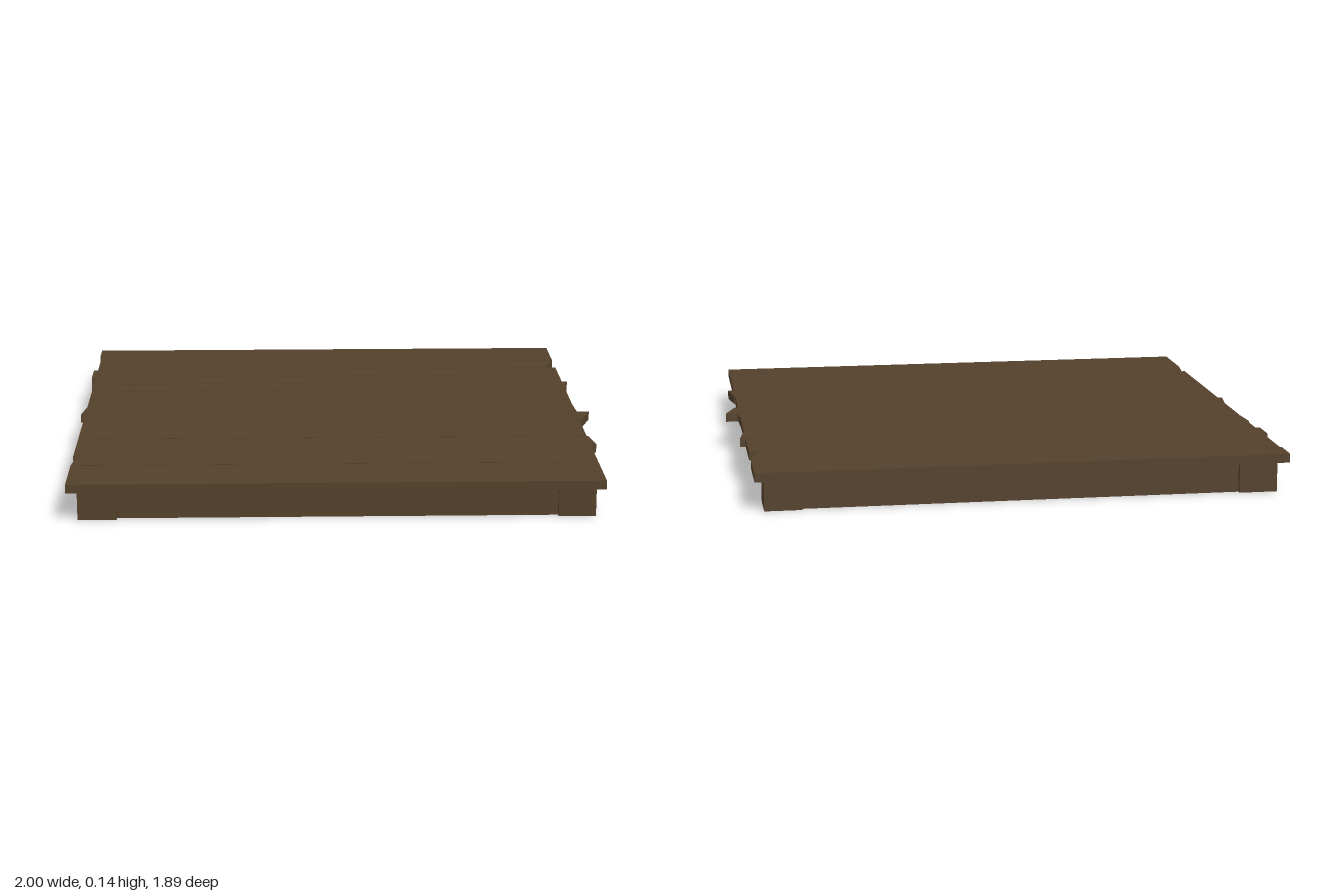
import * as THREE from 'three';

const wood = new THREE.MeshStandardMaterial({ color: 0x54412b, flatShading: true });

function box(name, x0, x1, y0, y1, z0, z1) {
  const mesh = new THREE.Mesh(new THREE.BoxGeometry(x1 - x0, y1 - y0, z1 - z0), wood);
  mesh.position.set((x0 + x1) / 2, (y0 + y1) / 2, (z0 + z1) / 2);
  mesh.name = name;
  return mesh;
}

// A board whose two ends may be cut at a slant: [x at back, x at front]
function plank(name, left, right, y0, y1, z0, z1) {
  const geo = new THREE.BoxGeometry(1, y1 - y0, z1 - z0);
  const p = geo.attributes.position;
  for (let i = 0; i < p.count; i++) {
    const end = p.getX(i) < 0 ? left : right;
    p.setX(i, end[p.getZ(i) < 0 ? 0 : 1]);
  }
  geo.computeVertexNormals();
  const mesh = new THREE.Mesh(geo, wood);
  mesh.position.set(0, (y0 + y1) / 2, (z0 + z1) / 2);
  mesh.name = name;
  return mesh;
}

export function createModel() {
  const model = new THREE.Group();
  model.name = 'woodenPlatform';

  // Solid base under the boards
  model.add(box('base', -0.928, 0.897, 0, 0.107, -0.922, 0.908));

  // Corner blocks, standing slightly proud of the base
  for (const [x0, x1] of [[-0.945, -0.805], [0.78, 0.915]])
    for (const [z0, z1] of [[-0.938, -0.8], [0.785, 0.925]])
      model.add(box('cornerBlock', x0, x1, 0, 0.107, z0, z1));

  // Deck boards from back to front, a few with uneven ends
  const leftEnds = {
    0: [-0.99, -0.99], 3: [-1, -1], 5: [-0.99, -0.983],
    8: [-0.983, -1], 14: [-0.97, -0.983],
  };
  const rightEnds = {
    2: [0.945, 0.905], 5: [0.968, 0.95], 8: [0.947, 0.952],
    9: [1, 0.96], 12: [0.952, 0.97],
  };
  const wideGaps = [1, 5, 11, 14];
  const count = 17, pitch = 1.89 / count;
  const deck = new THREE.Group();
  deck.name = 'deck';
  for (let i = 0; i < count; i++) {
    const z0 = -0.943 + i * pitch;
    const gap = i === 7 || i === 16 ? 0 : wideGaps.includes(i) ? 0.008 : 0.004;
    deck.add(plank('deckBoard', leftEnds[i] ?? [-0.983, -0.983], rightEnds[i] ?? [0.947, 0.947],
      0.107, 0.14, z0, z0 + pitch - gap));
  }
  model.add(deck);
  return model;
}
